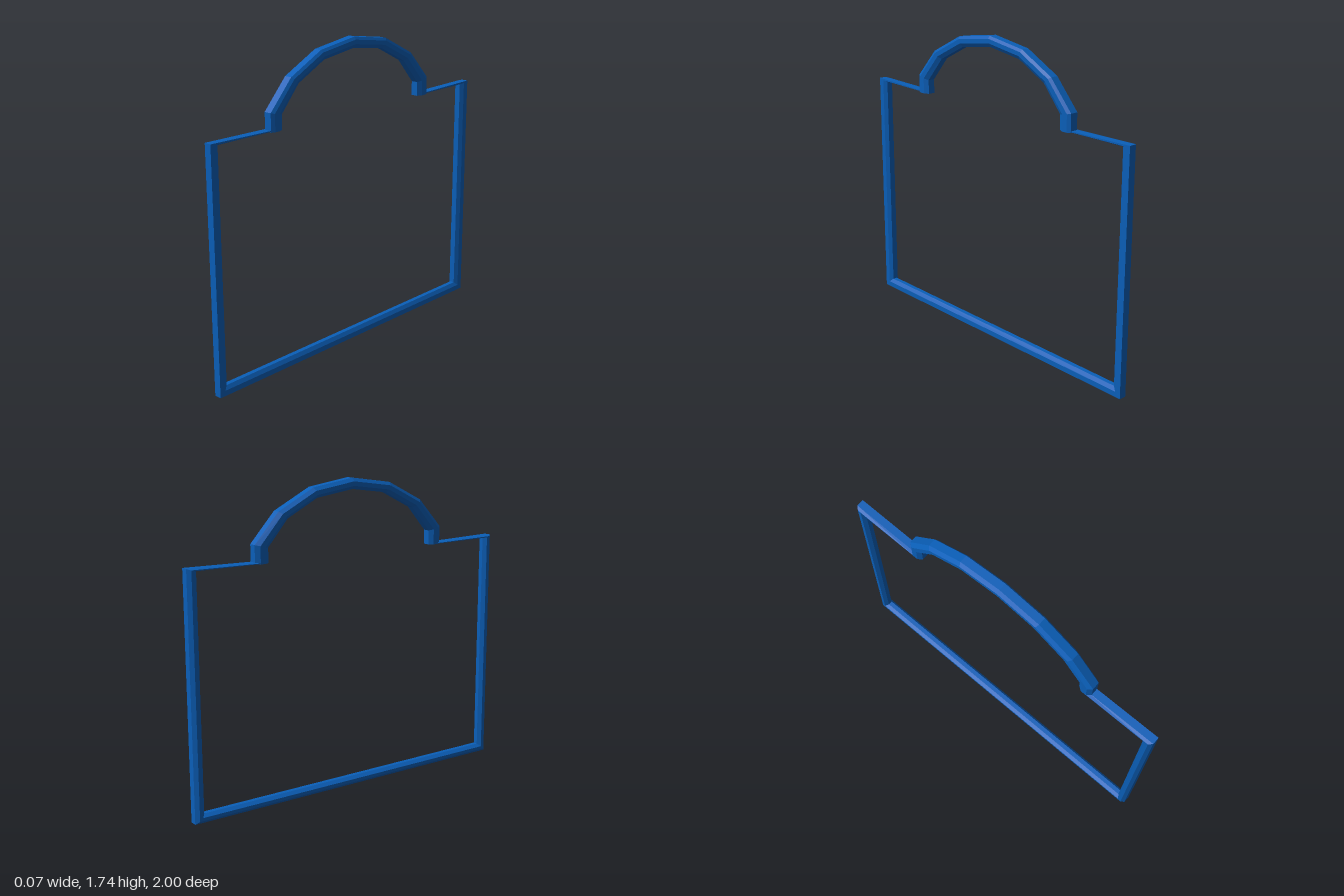
import * as THREE from 'three';

// Sweeps a section along mitred stations. Each station is [outerZ, outerY, innerZ, innerY];
// each section point is [fraction from outer to inner edge, x].
function sweep(stations, section) {
  const rings = stations.map(([oz, oy, iz, iy]) =>
    section.map(([t, x]) => [x, oy + (iy - oy) * t, oz + (iz - oz) * t]));
  const pos = [];
  const n = section.length;
  const tri = (a, b, c) => pos.push(...a, ...b, ...c);
  for (let i = 0; i < rings.length - 1; i++) {
    for (let j = 0; j < n; j++) {
      const k = (j + 1) % n;
      tri(rings[i][j], rings[i][k], rings[i + 1][k]);
      tri(rings[i][j], rings[i + 1][k], rings[i + 1][j]);
    }
  }
  // End caps
  const first = rings[0], last = rings[rings.length - 1];
  for (let j = 1; j < n - 1; j++) {
    tri(first[0], first[j + 1], first[j]);
    tri(last[0], last[j], last[j + 1]);
  }
  const geometry = new THREE.BufferGeometry();
  geometry.setAttribute('position', new THREE.Float32BufferAttribute(pos, 3));
  geometry.computeVertexNormals();
  return geometry;
}

// Mirrors a half path across z = 0 to complete it
const mirrorPath = (half) => [
  ...half,
  ...half.filter((s) => s[0] !== 0).reverse().map(([oz, oy, iz, iy]) => [-oz, oy, -iz, iy]),
];

export function createModel() {
  const group = new THREE.Group();
  group.name = 'archedFrame';
  const blue = new THREE.MeshStandardMaterial({ color: 0x0a5fb9 });
  blue.name = 'blue';

  const add = (name, geometry) => {
    const mesh = new THREE.Mesh(geometry, blue);
    mesh.name = name;
    group.add(mesh);
  };

  // Shoulders, side posts and bottom rail
  const railSection = [
    [0, -0.02], [0.35, -0.038], [0.7, -0.038], [1, -0.018], [1, 0.008], [0.6, 0.022], [0, 0.022],
  ];
  add('rectangularFrame', sweep(mirrorPath([
    [0.57, 1.338, 0.57, 1.33],
    [1, 1.347, 0.945, 1.33],
    [1, 0, 0.945, 0.05],
  ]), railSection));

  // Faceted arch standing on the shoulders
  const archSection = [
    [0, -0.02], [0.3, -0.038], [0.7, -0.038], [1, -0.02], [1, 0.02], [0.65, 0.034], [0.25, 0.034], [0, 0.024],
  ];
  add('arch', sweep(mirrorPath([
    [-0.61, 1.33, -0.53, 1.33],
    [-0.61, 1.43, -0.53, 1.41],
    [-0.465, 1.59, -0.41, 1.55],
    [-0.25, 1.7, -0.225, 1.645],
    [0, 1.737, 0, 1.677],
  ]), archSection));

  return group;
}
